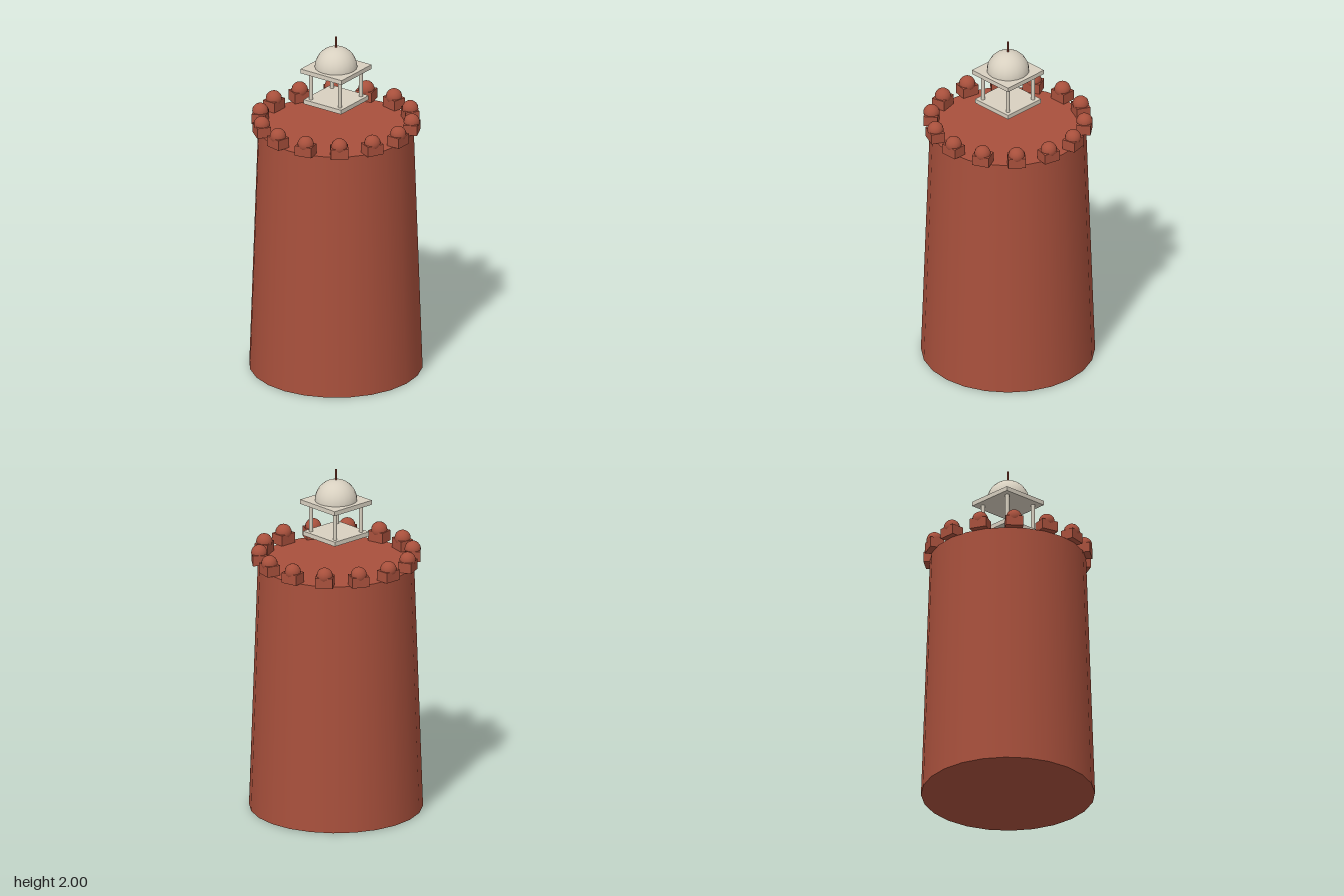
import * as THREE from 'three';

const material = (name, color) => {
  const m = new THREE.MeshStandardMaterial({ color });
  m.name = name;
  return m;
};

export function createModel() {
  const brick = material('red brick', 0xa8503c);
  const stone = material('pale stone', 0xd8d0c0);
  const root = new THREE.Group();
  root.name = 'tower';

  const add = (name, geometry, mat, x, y, z, parent = root) => {
    const mesh = new THREE.Mesh(geometry, mat);
    mesh.name = name;
    mesh.position.set(x, y, z);
    parent.add(mesh);
    return mesh;
  };

  // Tapered round shaft
  add('towerShaft', new THREE.CylinderGeometry(0.44, 0.49, 1.45, 24), brick, 0, 0.725, 0);

  // Ring of merlons, each a block topped by a ball
  const blockGeometry = new THREE.BoxGeometry(0.08, 0.06, 0.1);
  const ballGeometry = new THREE.SphereGeometry(0.046, 16, 12);
  const count = 14;
  for (let i = 0; i < count; i++) {
    const angle = (i / count) * Math.PI * 2;
    const merlon = new THREE.Group();
    merlon.name = 'merlon';
    merlon.position.set(Math.cos(angle) * 0.433, 1.45, Math.sin(angle) * 0.433);
    merlon.rotation.y = -angle;
    add('merlonBlock', blockGeometry, brick, 0, 0.03, 0, merlon);
    add('merlonBall', ballGeometry, brick, 0, 0.064, 0, merlon);
    root.add(merlon);
  }

  // Open kiosk hovering above the roof
  const kiosk = new THREE.Group();
  kiosk.name = 'kiosk';
  root.add(kiosk);
  add('kioskFloor', new THREE.BoxGeometry(0.262, 0.026, 0.262), stone, 0, 1.615, 0, kiosk);
  const columnGeometry = new THREE.CylinderGeometry(0.012, 0.012, 0.164, 10);
  for (const x of [-0.1, 0.1]) {
    for (const z of [-0.1, 0.1]) add('kioskColumn', columnGeometry, stone, x, 1.71, z, kiosk);
  }
  add('kioskRoof', new THREE.BoxGeometry(0.286, 0.026, 0.286), stone, 0, 1.803, 0, kiosk);

  // Dome and spire
  add('dome', new THREE.SphereGeometry(0.12, 20, 12, 0, Math.PI * 2, 0, Math.PI / 2), stone, 0, 1.816, 0, kiosk);
  add('spire', new THREE.CylinderGeometry(0.005, 0.005, 0.08, 8), brick, 0, 1.96, 0, kiosk);

  return root;
}
